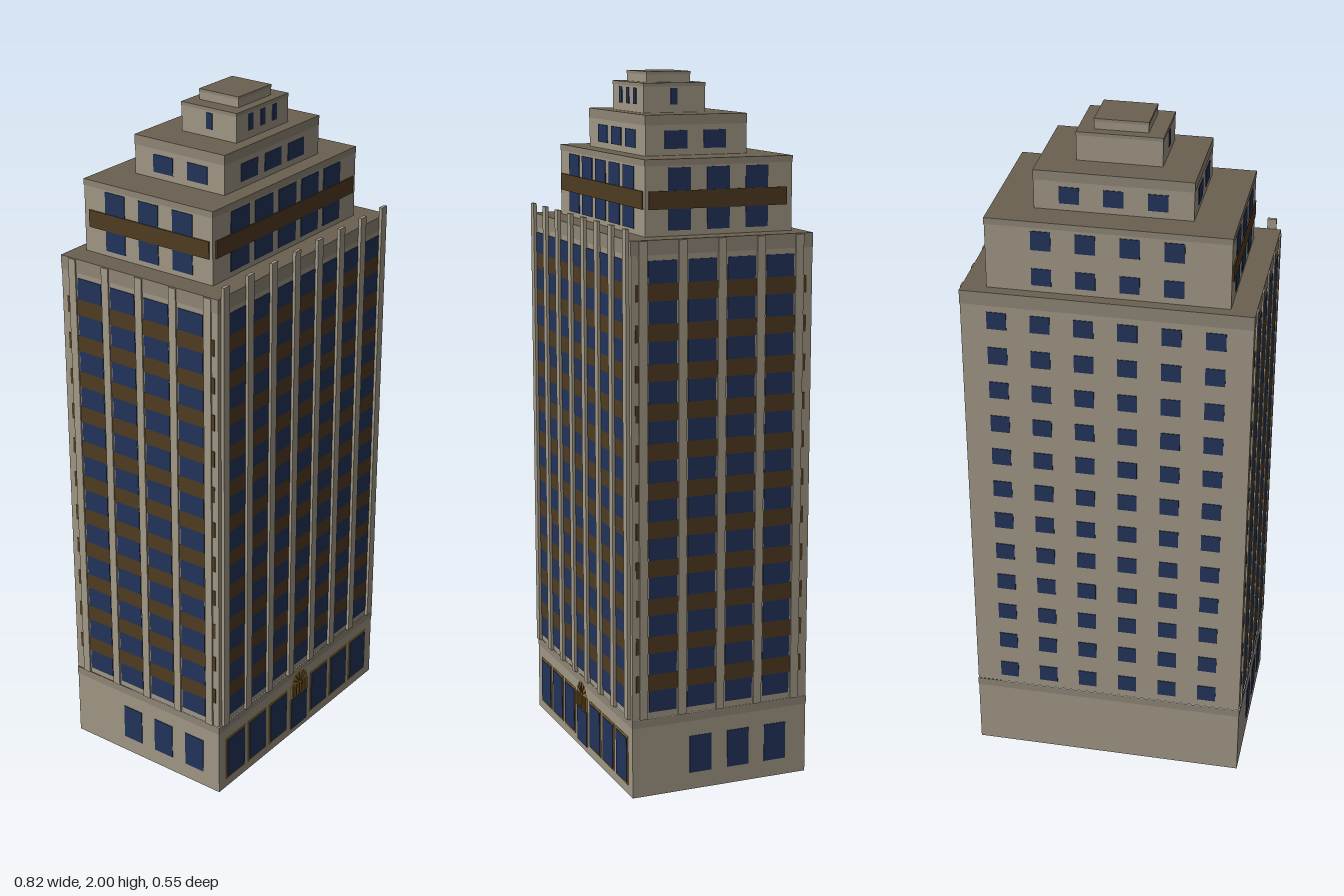
import * as THREE from 'three';

const mat = (color) => new THREE.MeshStandardMaterial({ color, side: THREE.DoubleSide, flatShading: true });

export function createModel() {
  const tower = new THREE.Group();
  tower.name = 'tower';
  const M = {
    wall: mat(0xa09785), band: mat(0x8f8676), fin: mat(0xa39a88), roof: mat(0x6a6150),
    glass: mat(0x22335a), spandrel: mat(0x4f3b20), gold: mat(0x94712c),
  };

  const add = (parent, name, geo, material, x = 0, y = 0, z = 0) => {
    const mesh = new THREE.Mesh(geo, material);
    mesh.name = name;
    mesh.position.set(x, y, z);
    parent.add(mesh);
    return mesh;
  };
  const group = (name) => {
    const g = new THREE.Group();
    g.name = name;
    tower.add(g);
    return g;
  };

  // Four hollow walls, open above and below
  const walls = (parent, name, material, b, y0, y1, grow = 0) => {
    const geo = new THREE.BoxGeometry(2 * (b.x + grow), y1 - y0, b.z1 - b.z0 + 2 * grow);
    const index = Array.from(geo.index.array);
    index.splice(12, 12);
    geo.setIndex(index);
    geo.clearGroups();
    add(parent, name, geo, material, 0, (y0 + y1) / 2, (b.z0 + b.z1) / 2);
  };
  const roof = (parent, b, y, grow = 0) => {
    const geo = new THREE.PlaneGeometry(2 * (b.x + grow), b.z1 - b.z0 + 2 * grow).rotateX(-Math.PI / 2);
    add(parent, 'roof', geo, M.roof, 0, y, (b.z0 + b.z1) / 2);
  };

  // Thin block standing proud of one side of a storey block; u runs along x or z
  const panel = (parent, name, material, b, side, u, width, y0, y1, depth = 0.002) => {
    const y = (y0 + y1) / 2, h = y1 - y0;
    if (side === 'front' || side === 'back') {
      const z = side === 'front' ? b.z1 + depth / 2 : b.z0 - depth / 2;
      return add(parent, name, new THREE.BoxGeometry(width, h, depth), material, u, y, z);
    }
    const x = (b.x + depth / 2) * (side === 'left' ? 1 : -1);
    return add(parent, name, new THREE.BoxGeometry(depth, h, width), material, x, y, u);
  };
  const spread = (n, step, mid = 0) => Array.from({ length: n }, (_, i) => mid + (i - (n - 1) / 2) * step);

  // Outlines of the stacked blocks
  const main = { x: 0.403, z0: -0.272, z1: 0.265 };
  const tier1 = { x: 0.335, z0: -0.24, z1: 0.197 };
  const tier2 = { x: 0.218, z0: -0.155, z1: 0.148 };
  const tier3 = { x: 0.118, z0: -0.072, z1: 0.113 };
  const cap = { x: 0.074, z0: -0.045, z1: 0.086 };
  const bayX = 0.1077, bayZ = 0.116, backStep = 0.121;

  // Ground floor
  const base = group('groundFloor');
  walls(base, 'baseWalls', M.wall, main, 0, 0.205);
  walls(base, 'baseBand', M.band, main, 0.205, 0.23, 0.001);
  for (const x of spread(7, bayX)) {
    if (Math.abs(x) < 0.01) continue;
    panel(base, 'shopWindowFrame', M.gold, main, 'front', x, 0.092, 0.028, 0.172, 0.002);
    panel(base, 'shopWindow', M.glass, main, 'front', x, 0.082, 0.034, 0.166, 0.004);
  }
  for (const z of spread(3, bayZ, -0.058)) {
    panel(base, 'sideShopWindow', M.glass, main, 'left', z, 0.067, 0.05, 0.16);
    panel(base, 'sideShopWindow', M.glass, main, 'right', -z, 0.067, 0.05, 0.16);
  }

  // Entrance with barred transom and fan-shaped ornament
  const entrance = group('entrance');
  panel(entrance, 'doorFrame', M.gold, main, 'front', 0, 0.086, 0.02, 0.13, 0.002);
  panel(entrance, 'door', M.glass, main, 'front', 0, 0.08, 0.02, 0.125, 0.004);
  panel(entrance, 'transom', M.spandrel, main, 'front', 0, 0.08, 0.13, 0.172, 0.003);
  for (const x of spread(6, 0.0148)) panel(entrance, 'transomBar', M.gold, main, 'front', x, 0.007, 0.13, 0.172, 0.006);
  add(entrance, 'fan', new THREE.CircleGeometry(0.04, 16, 0, Math.PI), M.gold, 0, 0.172, main.z1 + 0.003);
  for (let i = 1; i < 6; i++) {
    const a = (i * Math.PI) / 6;
    const ray = add(entrance, 'fanRay', new THREE.BoxGeometry(0.028, 0.003, 0.003), M.spandrel,
      Math.cos(a) * 0.022, 0.172 + Math.sin(a) * 0.022, main.z1 + 0.003);
    ray.rotation.z = a;
  }

  // Main shaft
  const shaft = group('shaft');
  walls(shaft, 'shaftWalls', M.wall, main, 0.23, 1.53);
  walls(shaft, 'shaftCornice', M.band, main, 1.53, 1.57, 0.001);
  roof(shaft, main, 1.57, 0.001);

  // Twelve storeys of windows with spandrel strips between
  const rows = 12, pitch = 0.1095, glassH = 0.062;
  for (let r = 0; r < rows; r++) {
    const top = 1.515 - r * pitch, low = top - glassH, next = top - pitch;
    for (const x of spread(7, bayX)) panel(shaft, 'frontWindow', M.glass, main, 'front', x, 0.082, low, top);
    for (const x of spread(6, backStep)) panel(shaft, 'backWindow', M.glass, main, 'back', x, 0.055, low + 0.006, top - 0.004);
    for (const side of ['left', 'right']) {
      for (const z of spread(4, bayZ)) panel(shaft, 'sideWindow', M.glass, main, side, z, 0.083, low, top);
      if (r < rows - 1) panel(shaft, 'sideSpandrel', M.spandrel, main, side, 0, 0.508, next, low);
    }
    if (r < rows - 1) panel(shaft, 'frontSpandrel', M.spandrel, main, 'front', 0, 0.73, next, low);
  }

  // Vertical fins
  for (const x of spread(8, bayX)) panel(shaft, 'frontFin', M.fin, main, 'front', x, 0.026, 0.23, 1.6, 0.01);
  for (const side of ['left', 'right'])
    for (const z of spread(5, bayZ)) panel(shaft, 'sideFin', M.fin, main, side, z, 0.024, 0.23, 1.568, 0.005);

  // Set-back block
  const setBack = (name, b, y0, y1, bandH) => {
    const g = group(name);
    walls(g, name + 'Walls', M.wall, b, y0, y1 - bandH);
    walls(g, name + 'Cornice', M.band, b, y1 - bandH, y1, 0.001);
    roof(g, b, y1, 0.001);
    return g;
  };

  // First set-back: two window rows and a dark belt on three sides
  const first = setBack('firstSetBack', tier1, 1.57, 1.777, 0.018);
  for (const [low, top] of [[1.585, 1.643], [1.69, 1.754]]) {
    for (const x of spread(5, bayX)) panel(first, 'window', M.glass, tier1, 'front', x, 0.082, low, top);
    for (const x of spread(4, backStep)) panel(first, 'backWindow', M.glass, tier1, 'back', x, 0.055, low + 0.004, top - 0.004);
    for (const side of ['left', 'right'])
      for (const z of spread(3, 0.115, -0.018)) panel(first, 'sideWindow', M.glass, tier1, side, z, 0.067, low, top);
  }
  panel(first, 'belt', M.spandrel, tier1, 'front', 0, 0.645, 1.643, 1.692, 0.004);
  for (const side of ['left', 'right']) panel(first, 'sideBelt', M.spandrel, tier1, side, -0.018, 0.41, 1.643, 1.692, 0.004);

  // Second set-back
  const second = setBack('secondSetBack', tier2, 1.777, 1.888, 0.028);
  for (const x of spread(3, bayX)) panel(second, 'window', M.glass, tier2, 'front', x, 0.075, 1.795, 1.845);
  for (const x of spread(3, backStep)) panel(second, 'backWindow', M.glass, tier2, 'back', x, 0.055, 1.797, 1.845);
  for (const side of ['left', 'right'])
    for (const z of spread(2, bayZ)) panel(second, 'sideWindow', M.glass, tier2, side, z, 0.067, 1.795, 1.845);

  // Crown and cap
  const crown = setBack('crown', tier3, 1.888, 1.97, 0.01);
  for (const x of spread(3, 0.054)) panel(crown, 'slitWindow', M.glass, tier3, 'front', x, 0.02, 1.91, 1.955);
  for (const side of ['left', 'right']) panel(crown, 'sideSlitWindow', M.glass, tier3, side, 0.022, 0.02, 1.91, 1.955);
  setBack('cap', cap, 1.97, 2.0, 0.008);

  return tower;
}
